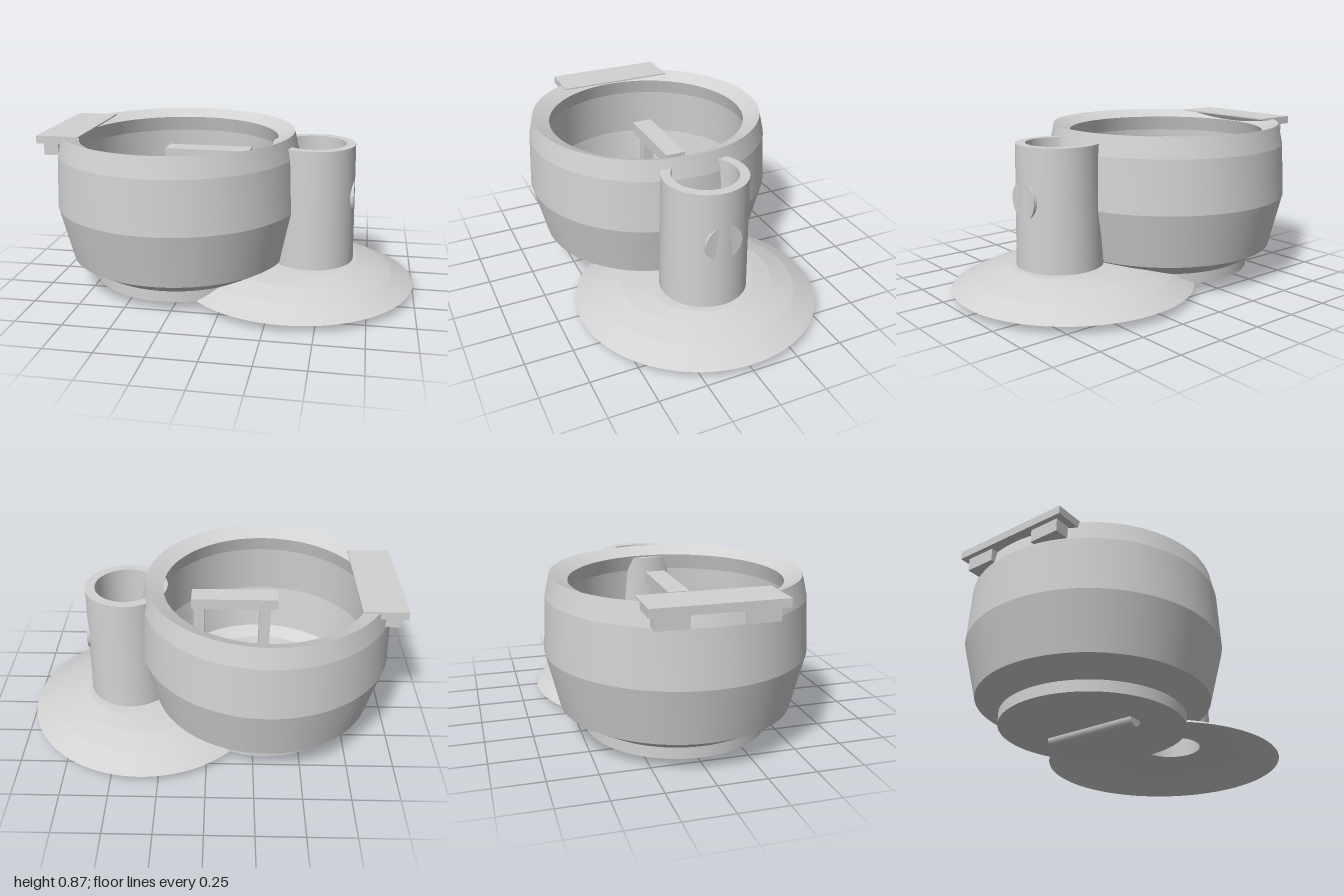
import * as THREE from 'three';
import { toCreasedNormals } from 'three/addons/utils/BufferGeometryUtils.js';

export function createModel() {
  const model = new THREE.Group();
  const grey = new THREE.MeshStandardMaterial({ color: 0xd2d2d2, side: THREE.DoubleSide });
  grey.name = 'plain grey';

  const BOWL_X = -0.307, TUBE_X = 0.436, FOOT_X = 0.348;

  function add(name, geometry, x = 0, y = 0, z = 0) {
    const mesh = new THREE.Mesh(geometry, grey);
    mesh.name = name;
    mesh.position.set(x, y, z);
    model.add(mesh);
    return mesh;
  }
  const box = (name, x0, x1, y0, y1, z0, z1) =>
    add(name, new THREE.BoxGeometry(x1 - x0, y1 - y0, z1 - z0), (x0 + x1) / 2, (y0 + y1) / 2, (z0 + z1) / 2);
  const lathe = (profile) =>
    new THREE.LatheGeometry(profile.map(([r, y]) => new THREE.Vector2(r, y)), 96);
  const creased = (geometry) => toCreasedNormals(geometry, 0.12);

  // Bowl: faceted outside, sloped rim, deep bulging inside and raised floor disc
  add('bowl', creased(lathe([
    [0, 0.1], [0.48, 0.1], [0.605, 0.175], [0.675, 0.465], [0.66, 0.75], [0.635, 0.86],
    [0.545, 0.82], [0.568, 0.735], [0.585, 0.465], [0.55, 0.21], [0.48, 0.165],
    [0.43, 0.16], [0.4, 0.22], [0, 0.22],
  ])), BOWL_X);
  add('basePlate', new THREE.CylinderGeometry(0.48, 0.48, 0.06, 96), BOWL_X, 0.07);
  add('lidDisc', new THREE.CylinderGeometry(0.35, 0.355, 0.008, 96), BOWL_X, 0.224);
  add('bottomRod', new THREE.CylinderGeometry(0.04, 0.04, 0.53, 32).rotateX(Math.PI / 2), BOWL_X, 0.04);

  // Handle inside the bowl, with its long legs and thin ribs on the disc
  box('handleBar', -0.375, 0.09, 0.7, 0.76, -0.055, 0.055);
  for (const x of [BOWL_X, 0.05]) box('handleLeg', x - 0.03, x + 0.03, 0.2, 0.7, -0.03, 0.03);
  box('crossRib', BOWL_X - 0.013, BOWL_X + 0.013, 0.22, 0.25, -0.21, 0.21);
  box('longRib', -0.52, BOWL_X, 0.22, 0.25, -0.013, 0.013);

  // Hinge on the floor at the tube side
  box('hingeTongue', 0.06, 0.21, 0.17, 0.24, -0.055, 0.055);
  for (const s of [-1, 1]) box('hingeBlock', 0.13, 0.18, 0.15, 0.24, s * 0.16 - 0.025, s * 0.16 + 0.025);

  // Plate overhanging the rim, with a slanted inner end and two hooks
  const lip = new THREE.Shape([[-1, 0.865], [-1, 0.823], [-0.855, 0.823], [-0.835, 0.855], [-0.77, 0.858], [-0.77, 0.865]]
    .map(([x, y]) => new THREE.Vector2(x, y)));
  add('rimPlate', new THREE.ExtrudeGeometry(lip, { depth: 0.65, bevelEnabled: false }), 0, 0, -0.325);
  for (const s of [-1, 1]) box('rimHook', -0.975, -0.895, 0.755, 0.825, s * 0.21 - 0.08, s * 0.21 + 0.08);

  // Domed foot: open shell whose top rings shift towards the tube
  const foot = lathe([[0.65, 0.04], [0.53, 0.1], [0.41, 0.141], [0.29, 0.16], [0.168, 0.165]]);
  const p = foot.attributes.position;
  for (let i = 0; i < p.count; i++) {
    const r = Math.hypot(p.getX(i), p.getZ(i));
    if (r < 0.35) p.setX(i, p.getX(i) + (r < 0.2 ? TUBE_X - FOOT_X : 0.05));
  }
  add('foot', creased(foot), FOOT_X);

  // Hollow tube, open at both ends
  add('tube', creased(lathe([
    [0.168, 0.166], [0.231, 0.166], [0.22, 0.81], [0.17, 0.81], [0.168, 0.166],
  ])), TUBE_X);

  // Cross rod inside the tube and the round knob flush with its outer side
  const rodX = (name, r, x0, x1, y) =>
    add(name, new THREE.CylinderGeometry(r, r, x1 - x0, 48).rotateZ(Math.PI / 2), (x0 + x1) / 2, y);
  rodX('crossRod', 0.08, 0.33, 0.61, 0.53);
  rodX('knob', 0.1, 0.61, 0.657, 0.53);

  return model;
}
